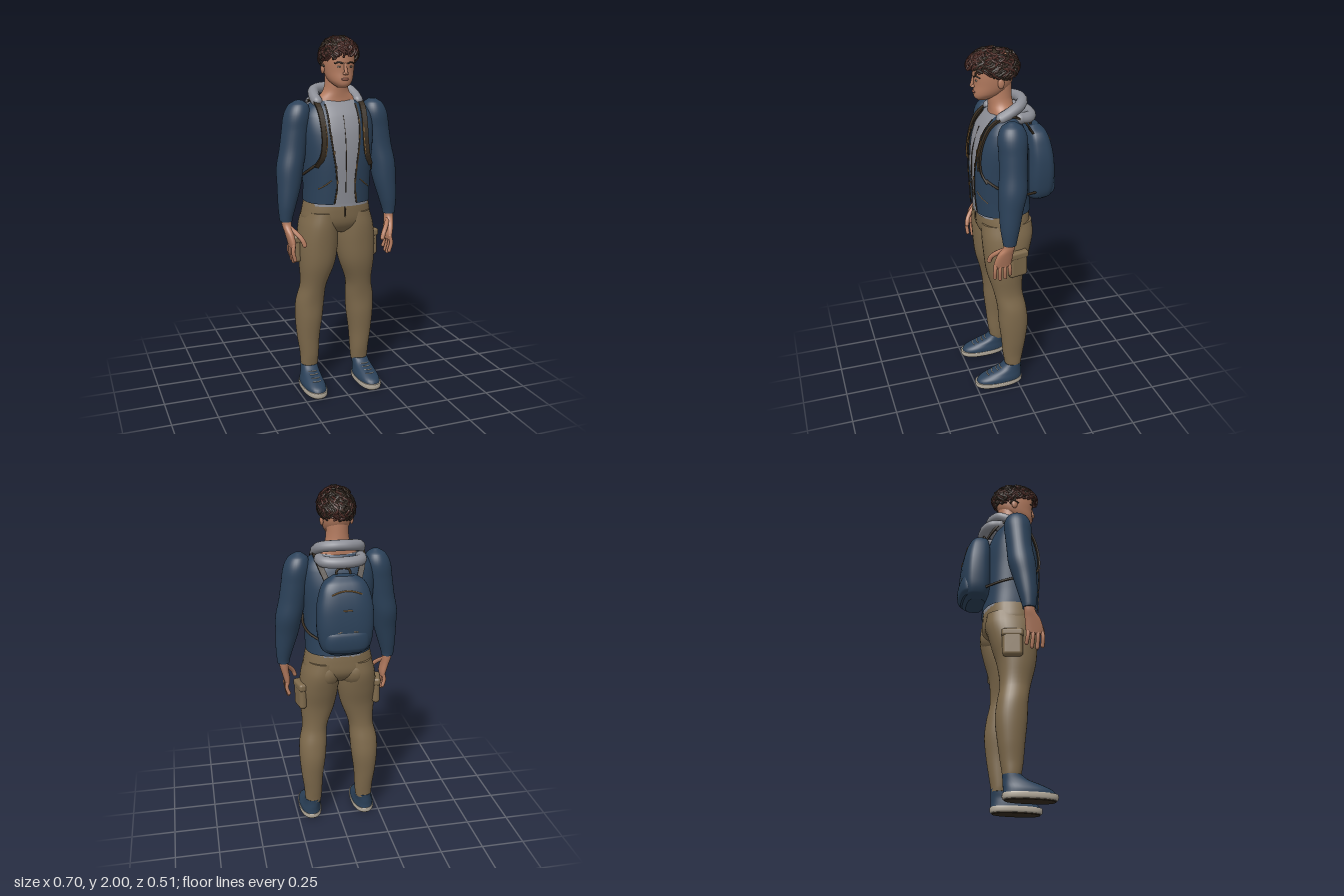
import * as THREE from 'three';
import { mergeGeometries } from 'three/addons/utils/BufferGeometryUtils.js';
import { RoundedBoxGeometry } from 'three/addons/geometries/RoundedBoxGeometry.js';

const mat = (name, color) => Object.assign(new THREE.MeshStandardMaterial({ color, side: THREE.DoubleSide }), { name });
const M = {
  navy: mat('navy cloth', 0x2b4159), khaki: mat('khaki cloth', 0x7e6a4c), grey: mat('grey cotton', 0x8b8d95),
  skin: mat('skin', 0xb57c60), strap: mat('dark strap', 0x372d21), curl: mat('red brown hair', 0x52302a),
  dark: mat('dark hair', 0x362b22), cream: mat('cream rubber', 0xb3aa9b), tan: mat('tan trim', 0x96703f), lip: mat('lips', 0x935a49),
};
const V = (x, y, z) => new THREE.Vector3(x, y, z);

// Smooth interpolation of section rows [y, cx, cz, rx, rz] at a height
function rowAt(S, y) {
  let i = 0;
  while (i < S.length - 2 && y > S[i + 1][0]) i++;
  const a = S[i], b = S[i + 1], p = S[Math.max(i - 1, 0)], q = S[Math.min(i + 2, S.length - 1)];
  const h = b[0] - a[0], t = THREE.MathUtils.clamp((y - a[0]) / h, 0, 1), t2 = t * t, t3 = t2 * t;
  return a.map((_, k) => {
    const m0 = (b[k] - p[k]) / (b[0] - p[0]) * h, m1 = (q[k] - a[k]) / (q[0] - a[0]) * h;
    return (2 * t3 - 3 * t2 + 1) * a[k] + (t3 - 2 * t2 + t) * m0 + (3 * t2 - 2 * t3) * b[k] + (t3 - t2) * m1;
  });
}

// Stack of rounded cross-sections; open(y) leaves a gap of that half-width at the front
function loft(S, { n = 2, seg = 32, open = null, side = 1, steps = 5 } = {}) {
  const pos = [], idx = [], ys = [];
  for (let i = 0; i < S.length - 1; i++) for (let k = 0; k < steps; k++) ys.push(THREE.MathUtils.lerp(S[i][0], S[i + 1][0], k / steps));
  ys.push(S[S.length - 1][0]);
  const W = open ? seg + 1 : seg;
  const ring = y => {
    const [, cx, cz, rx, rz] = rowAt(S, y);
    const a0 = open ? Math.asin(Math.pow(Math.min(open(y) / rx, 1), n / 2)) : 0;
    for (let j = 0; j < W; j++) {
      const a = a0 + (2 * Math.PI - 2 * a0) * j / seg, s = Math.sin(a), c = Math.cos(a);
      pos.push(cx * side + rx * Math.sign(s) * Math.abs(s) ** (2 / n), y, cz + rz * Math.sign(c) * Math.abs(c) ** (2 / n));
    }
    return [cx * side, y, cz];
  };
  ys.forEach(ring);
  for (let i = 0; i < ys.length - 1; i++) for (let j = 0; j < seg; j++) {
    const a = i * W + j, b = i * W + (j + 1) % W;
    idx.push(a, b, b + W, a, b + W, a + W);
  }
  if (!open) [ys[0], ys[ys.length - 1]].forEach((y, top) => {
    const base = pos.length / 3;
    pos.push(...ring(y));
    for (let j = 0; j < seg; j++) {
      const a = base + j, b = base + (j + 1) % seg;
      top ? idx.push(a, b, base + seg) : idx.push(b, a, base + seg);
    }
  });
  const g = new THREE.BufferGeometry();
  g.setAttribute('position', new THREE.Float32BufferAttribute(pos, 3));
  g.setIndex(idx);
  g.computeVertexNormals();
  return g;
}

// Front (dir 1) or back (dir -1) depth of a loft at x, y
function depth(S, n, x, y, dir = 1) {
  const [, cx, cz, rx, rz] = rowAt(S, y);
  return cz + dir * rz * Math.max(0, 1 - Math.abs((x - cx) / rx) ** n) ** (1 / n);
}

const tube = (pts, r, seg = 16, sides = 8) => new THREE.TubeGeometry(new THREE.CatmullRomCurve3(pts), seg, r, sides);
// Tube with rounded ends
function limb(pts, r, seg = 14, sides = 8) {
  const ends = [pts[0], pts[pts.length - 1]].map(p => new THREE.SphereGeometry(r, sides, 6).translate(p.x, p.y, p.z));
  return mergeGeometries([tube(pts, r, seg, sides), ...ends]);
}
const ball = (x, y, z, rx, ry, rz) => new THREE.SphereGeometry(1, 16, 12).scale(rx, ry, rz).translate(x, y, z);

// Flat band along a path, its width lying across x
function ribbon(pts, w, t) {
  const c = new THREE.CatmullRomCurve3(pts), N = 30, pos = [], idx = [];
  for (let i = 0; i <= N; i++) {
    const p = c.getPointAt(i / N), d = c.getTangentAt(i / N);
    const u = V(1, 0, 0).addScaledVector(d, -d.x).normalize(), m = d.clone().cross(u);
    for (const [a, b] of [[-1, -1], [1, -1], [1, 1], [-1, 1]]) pos.push(...p.clone().addScaledVector(u, a * w / 2).addScaledVector(m, b * t / 2));
    if (i < N) for (let j = 0; j < 4; j++) {
      const a = i * 4 + j, b = i * 4 + (j + 1) % 4;
      idx.push(a, b, b + 4, a, b + 4, a + 4);
    }
  }
  const g = new THREE.BufferGeometry();
  g.setAttribute('position', new THREE.Float32BufferAttribute(pos, 3));
  g.setIndex(idx);
  const flat = g.toNonIndexed();
  flat.computeVertexNormals();
  return flat;
}

const TORSO = [[1.105, 0, .042, .184, .158], [1.2, 0, .048, .184, .157], [1.35, 0, .052, .192, .158], [1.48, 0, .05, .202, .148],
  [1.57, 0, .047, .195, .122], [1.62, 0, .042, .168, .095], [1.655, 0, .038, .125, .068]];
const SHIRT = [[1.09, 0, .042, .178, .15], ...TORSO.map(([y, x, z, a, b]) => [y + .002, x, z, a - .008, b - .008])];
const PACK = [[1.15, 0, -.16, .09, .05], [1.18, 0, -.163, .13, .072], [1.26, 0, -.165, .15, .083], [1.38, 0, -.163, .154, .08],
  [1.47, 0, -.155, .14, .072], [1.54, 0, -.145, .112, .055], [1.575, 0, -.135, .06, .03]];
const POUCH = [[1.17, 0, -.19, .1, .05], [1.2, 0, -.195, .122, .06], [1.27, 0, -.195, .122, .06], [1.31, 0, -.19, .105, .045]];
const HEAD = [[1.728, 0, .135, .022, .03], [1.74, 0, .13, .04, .05], [1.765, 0, .107, .062, .078], [1.81, 0, .083, .076, .101],
  [1.87, 0, .077, .082, .111], [1.93, 0, .075, .076, .105], [1.965, 0, .07, .05, .07], [1.975, 0, .07, .02, .03]];
const ARM = [[1.01, .306, .086, .034, .036], [1.03, .306, .086, .037, .039], [1.1, .298, .082, .05, .052], [1.2, .283, .072, .065, .065],
  [1.3, .272, .058, .074, .077], [1.4, .252, .05, .074, .074], [1.5, .236, .046, .075, .076], [1.58, .225, .045, .073, .078],
  [1.635, .217, .045, .053, .057], [1.66, .214, .045, .018, .02]];
const LEG = [[.115, .156, .017, .046, .047], [.14, .156, .018, .05, .05], [.2, .156, .018, .054, .06], [.3, .16, .015, .064, .072],
  [.42, .157, .016, .077, .085], [.52, .152, .024, .08, .083], [.62, .138, .042, .073, .083], [.75, .119, .054, .1, .106],
  [.87, .111, .044, .112, .13], [.97, .105, .036, .106, .145], [1.05, .095, .036, .092, .142]];

export function createModel() {
  const model = new THREE.Group();
  const add = (name, geo, m) => { const o = new THREE.Mesh(geo, m); o.name = name; model.add(o); return o; };
  const gap = y => .05 + .035 * THREE.MathUtils.smoothstep(y, 1.2, 1.55) + .012 * THREE.MathUtils.smoothstep(1.2 - y, 0, .1);
  const chest = (x, y, o = .004) => V(x, y, depth(TORSO, 2.4, x, y) + o);

  // Torso clothing
  add('shirt', loft(SHIRT, { n: 2.4, seg: 48 }), M.grey);
  add('jacket', loft(TORSO, { n: 2.4, seg: 64, open: gap }), M.navy);
  add('shirtZip', ribbon([1.17, 1.3, 1.45, 1.58].map(y => chest(0, y, -.005)), .003, .004), M.strap);
  add('hips', loft([[.93, 0, .035, .1, .09], [.96, 0, .035, .16, .125], [1.0, 0, .035, .197, .145], [1.06, 0, .038, .191, .149], [1.11, 0, .04, .18, .147]], { n: 2.3 }), M.khaki);
  add('fly', limb([V(0, 1.09, .186), V(.002, 1.04, .184), V(-.006, .98, .166)], .004), M.strap);

  // Neck and head
  add('neck', loft([[1.62, 0, .04, .13, .065], [1.665, 0, .038, .105, .065], [1.7, 0, .04, .075, .066], [1.74, 0, .045, .063, .066], [1.82, 0, .045, .06, .066]]), M.skin);
  add('head', loft(HEAD, { n: 2.2 }), M.skin);
  add('nose', mergeGeometries([limb([V(0, 1.85, .184), V(0, 1.825, .19), V(0, 1.807, .196)], .009), ball(0, 1.803, .19, .016, .009, .012)]), M.skin);
  add('mouth', ball(0, 1.773, depth(HEAD, 2.2, 0, 1.773), .023, .007, .006), M.lip);

  // Hood bunched behind the neck
  add('hoodUpper', limb([V(.118, 1.65, .07), V(.118, 1.68, .015), V(.1, 1.705, -.035), V(.05, 1.715, -.064), V(0, 1.717, -.07),
    V(-.05, 1.715, -.064), V(-.1, 1.705, -.035), V(-.118, 1.68, .015), V(-.118, 1.65, .07)], .03, 48, 12), M.grey);
  add('hoodLower', limb([V(.112, 1.64, -.035), V(.1, 1.638, -.085), V(.05, 1.636, -.11), V(-.05, 1.636, -.11), V(-.1, 1.638, -.085), V(-.112, 1.64, -.035)], .031, 40, 12), M.grey);

  // Backpack with zips
  const backLine = (S, n, y, w, arch) => tube([-1, -.5, 0, .5, 1].map(t => {
    const yy = y + arch * (1 - t * t);
    return V(t * w, yy, depth(S, n, t * w, yy, -1));
  }), .004, 20, 6);
  add('backpack', loft(PACK, { n: 3, seg: 40 }), M.navy);
  add('backpackPouch', loft(POUCH, { n: 3.2, seg: 40 }), M.navy);
  add('pouchZip', backLine(POUCH, 3.2, 1.285, .1, .01), M.tan);
  add('packZip', backLine(PACK, 3, 1.49, .08, .02), M.tan);
  add('packTag', backLine(PACK, 3, 1.41, .025, 0), M.tan);
  add('packHandle', tube([V(.04, 1.56, -.12), V(.03, 1.6, -.115), V(-.03, 1.6, -.115), V(-.04, 1.56, -.12)], .007), M.strap);

  for (const s of [1, -1]) {
    const tag = s > 0 ? 'left' : 'right', P = (x, y, z) => V(s * x, y, z);
    // Jacket edge, pocket slit and straps
    add(tag + 'JacketEdge', ribbon([1.11, 1.2, 1.3, 1.4, 1.5, 1.58, 1.64].map(y => chest(s * (gap(y) + .002), y, .001)), .008, .005), M.strap);
    for (let i = 0; i < 6; i++) add(tag + 'ZipTooth', ribbon([0, .02].map(d => chest(s * (gap(1.14 + i * .08) - .001), 1.14 + i * .08 + d, .004)), .004, .003), M.tan);
    add(tag + 'JacketPocket', tube([chest(s * .08, 1.24, 0), chest(s * .11, 1.215, 0), chest(s * .145, 1.19, 0)], .003, 8, 6), M.tan);
    add(tag + 'Strap', ribbon([P(.09, 1.545, -.11), P(.115, 1.61, -.065), P(.128, 1.652, -.01), P(.13, 1.662, .045), chest(s * .125, 1.62, .012), chest(s * .12, 1.55, .008),
      chest(s * .118, 1.45, .008), chest(s * .128, 1.37, .008), chest(s * .155, 1.31, .006)], .03, .01), M.strap);
    add(tag + 'StrapWeb', tube([chest(s * .15, 1.33, .004), chest(s * .178, 1.295, .004), P(.195, 1.26, .06), P(.18, 1.23, -.04), P(.13, 1.21, -.12)], .007), M.strap);
    add(tag + 'StrapTrim', ribbon([chest(s * .108, 1.54, .012), chest(s * .105, 1.45, .012), chest(s * .115, 1.37, .012)], .004, .004), M.tan);

    // Sleeve, palm, fingers and thumb
    add(tag + 'Sleeve', loft(ARM, { side: s }), M.navy);
    add(tag + 'Palm', loft([[.87, .284, .12, .014, .046], [.9, .287, .118, .019, .049], [.95, .297, .107, .022, .043], [.99, .304, .09, .025, .031], [1.03, .306, .086, .027, .03]], { side: s, n: 2.3 }), M.skin);
    const fingers = [0, 1, 2, 3].map(i => limb([P(.285, .89, .084 + i * .025), P(.291, .85, .08 + i * .028), P(.28, [.815, .797, .792, .805][i], .075 + i * .029)], .011));
    fingers.push(limb([P(.29, .975, .11), P(.262, .945, .15), P(.24, .915, .172), P(.23, .888, .178)], .013));
    add(tag + 'Fingers', mergeGeometries(fingers), M.skin);

    // Trouser leg, seat and cargo pocket
    add(tag + 'TrouserLeg', loft(LEG, { side: s, n: 2.15 }), M.khaki);
    add(tag + 'Seat', ball(s * .082, .985, -.02, .088, .095, .094), M.khaki);
    const pocket = new THREE.Group();
    pocket.name = tag + 'CargoPocket';
    const bag = new THREE.Mesh(new RoundedBoxGeometry(.044, .155, .112, 4, .021), M.khaki);
    const flap = new THREE.Mesh(new RoundedBoxGeometry(.05, .045, .12, 3, .015), M.khaki);
    bag.name = 'pocketBag'; flap.name = 'pocketFlap';
    flap.position.y = .058;
    pocket.add(bag, flap);
    pocket.position.set(s * .222, .835, .012);
    pocket.rotation.y = s * .2;
    model.add(pocket);

    // Shoe
    add(tag + 'Sole', loft([[.005, .165, .11, .062, .138], [.012, .165, .11, .067, .144], [.03, .165, .11, .068, .145], [.036, .165, .11, .066, .143]], { side: s, n: 2.4, steps: 2 }), M.cream);
    add(tag + 'Tread', loft([[0, .165, .11, .056, .132], [.006, .165, .11, .058, .134]], { side: s, n: 2.4, steps: 1 }), M.strap);
    const SHOE = [[.03, .165, .108, .064, .139], [.055, .165, .1, .062, .129], [.08, .163, .072, .054, .102], [.105, .16, .037, .049, .067], [.13, .158, .018, .047, .05]];
    add(tag + 'Shoe', loft(SHOE, { side: s, n: 2.3 }), M.navy);
    for (let i = 0; i < 4; i++) {
      const y = .078 + i * .01, lace = [-.024, 0, .024].map(d => P(.162 + d, y, depth(SHOE, 2.3, .162 + d, y) + .002));
      add(tag + 'Lace', tube(lace, .003, 8, 5), M.cream);
    }

    // Face side: eye, brow, ear
    const face = (x, y, o) => V(s * x, y, depth(HEAD, 2.2, x, y) + o);
    const e = face(.032, 1.838, -.001);
    add(tag + 'Eye', ball(e.x, e.y, e.z, .012, .005, .004), M.cream);
    add(tag + 'Iris', ball(e.x, e.y, e.z + .002, .005, .005, .004), M.strap);
    add(tag + 'Brow', limb([face(.014, 1.855, 0), face(.034, 1.861, 0), face(.053, 1.855, 0)], .004, 8, 6), M.dark);
    add(tag + 'Ear', ball(s * .082, 1.825, .06, .01, .028, .018), M.skin);
  }

  // Hair: a tilted cap covered with wavy curls running out from the crown
  const C = V(0, 1.885, .075);
  add('hairCap', new THREE.SphereGeometry(1, 32, 16, 0, Math.PI * 2, 0, 1.62).scale(.088, .1, .124).rotateX(-.22).translate(C.x, C.y, C.z), M.dark);
  let seed = 7;
  const rnd = () => (seed = (seed * 16807) % 2147483647) / 2147483647;
  const curls = { curl: [], dark: [] };
  for (let i = 0; i < 330; i++) {
    const th = rnd() * Math.PI * 2, front = Math.max(0, Math.cos(th));
    const end = 1.98 - .45 * Math.max(0, Math.cos(th) + .2);
    const p0 = .12 + (end - .55) * Math.sqrt(rnd()), len = .32 + rnd() * .25, ph = rnd() * 6, lift = .004 + rnd() * .008;
    const pts = [0, 1, 2, 3, 4].map(k => {
      const p = Math.min(p0 + len * k / 4, end + .08), a = th + .14 * Math.sin(ph + k * 1.7) / Math.max(.35, Math.sin(p));
      const o = lift + .006 * Math.sin(k * .8) + .014 * front * Math.sin(p) ** 2;
      return V(Math.sin(p) * Math.sin(a) * (.083 + o), Math.cos(p) * (.1 + o), Math.sin(p) * Math.cos(a) * (.122 + o)).add(C);
    });
    curls[rnd() < .3 + .5 * front + (p0 > .8 ? .15 : 0) ? 'curl' : 'dark'].push(limb(pts, .0055 + rnd() * .002, 8, 5));
  }
  add('redBrownCurls', mergeGeometries(curls.curl), M.curl);
  add('darkCurls', mergeGeometries(curls.dark), M.dark);
  return model;
}
